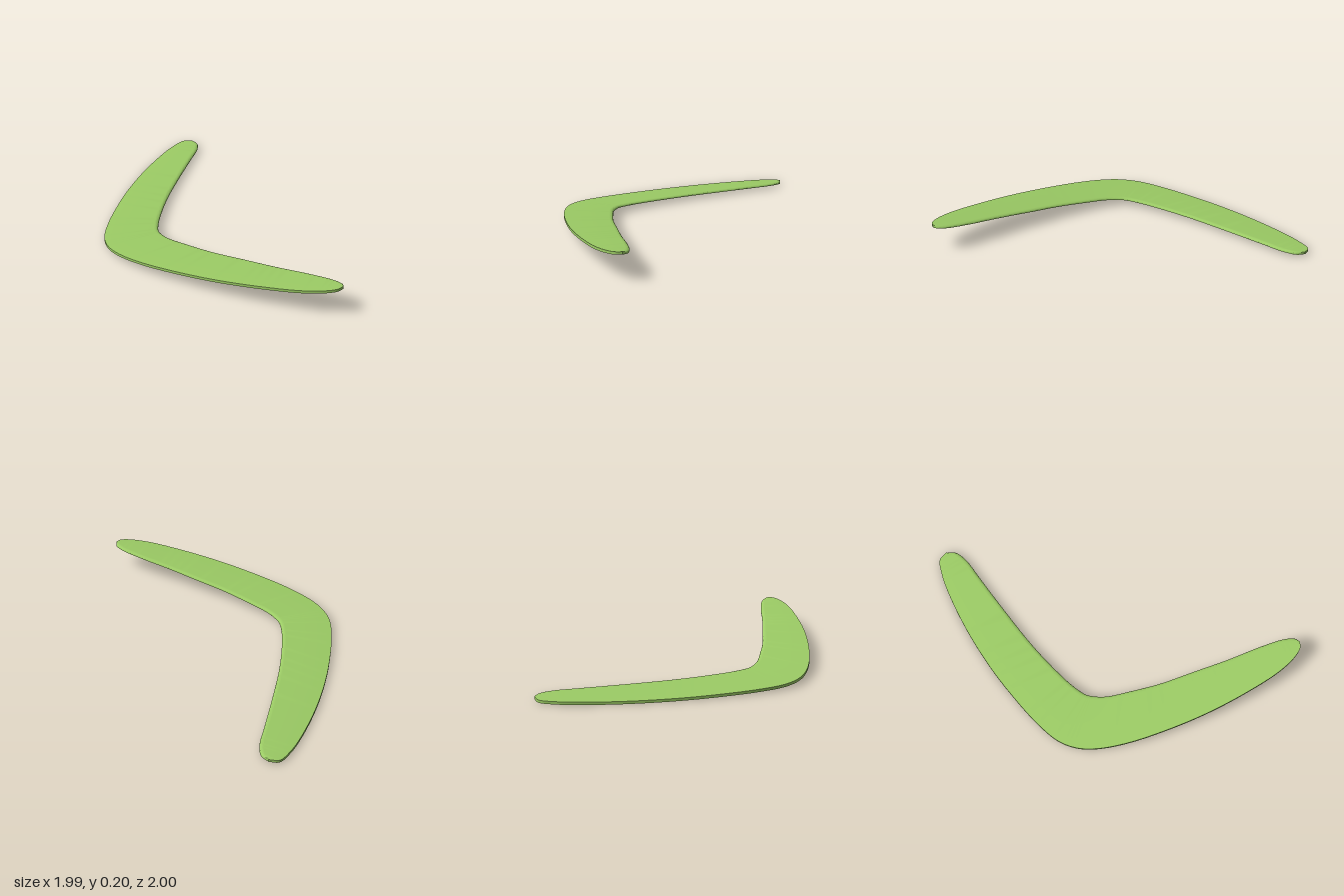
import * as THREE from 'three';
import { toCreasedNormals } from 'three/addons/utils/BufferGeometryUtils.js';

// Outline edges in plan (x, z), paired station by station from one tip to the other
const OUTER = [
  [-0.86, -1], [-0.925, -0.975], [-0.965, -0.86], [-0.987, -0.7], [-0.997, -0.4], [-0.98, -0.1],
  [-0.945, 0.15], [-0.88, 0.45], [-0.81, 0.64], [-0.72, 0.75], [-0.6, 0.825], [-0.4, 0.895],
  [-0.1, 0.955], [0.2, 0.99], [0.5, 0.998], [0.75, 0.985], [0.9, 0.95], [0.97, 0.91], [0.99, 0.87],
];
const INNER = [
  [-0.86, -1], [-0.8, -0.97], [-0.76, -0.88], [-0.735, -0.7], [-0.695, -0.4], [-0.645, -0.08],
  [-0.59, 0.16], [-0.535, 0.34], [-0.485, 0.445], [-0.45, 0.48], [-0.37, 0.53], [-0.2, 0.585],
  [0, 0.64], [0.25, 0.685], [0.5, 0.73], [0.75, 0.765], [0.91, 0.8], [0.975, 0.835], [0.99, 0.87],
];
const THICK = 0.019;
const SLOPE = 0.09; // the whole blade leans up towards +x

const edgeCurve = (pts) =>
  new THREE.CatmullRomCurve3(pts.map(([x, z]) => new THREE.Vector3(x, 0, z)));

// Cross-section: flat underside, rounded inner rim, flat top, square outer edge
function section(inner, outer) {
  const width = inner.distanceTo(outer);
  const bevel = Math.min(0.03, width * 0.3);
  const at = (d, h) => {
    const p = inner.clone().lerp(outer, width > 0 ? d / width : 0);
    p.y = SLOPE * (p.x + 1) + h;
    return p;
  };
  const ring = [at(0, 0)];
  for (let i = 0; i <= 6; i++) {
    const a = (i / 6) * Math.PI / 2;
    ring.push(at(bevel * (1 - Math.cos(a)), 0.004 + (THICK - 0.004) * Math.sin(a)));
  }
  ring.push(at(width, THICK), at(width, 0));
  return ring;
}

function bladeGeometry(stations = 144) {
  const innerCurve = edgeCurve(INNER);
  const outerCurve = edgeCurve(OUTER);
  const positions = [];
  const index = [];
  let n = 0;
  for (let s = 0; s <= stations; s++) {
    const t = s / stations;
    const ring = section(innerCurve.getPoint(t), outerCurve.getPoint(t));
    n = ring.length;
    ring.forEach((p) => positions.push(p.x, p.y, p.z));
  }
  for (let s = 0; s < stations; s++) {
    for (let j = 0; j < n; j++) {
      const a = s * n + j;
      const b = s * n + ((j + 1) % n);
      index.push(a, b, a + n, b, b + n, a + n);
    }
  }
  const geometry = new THREE.BufferGeometry();
  geometry.setAttribute('position', new THREE.Float32BufferAttribute(positions, 3));
  geometry.setIndex(index);
  return toCreasedNormals(geometry, 0.7);
}

export function createModel() {
  const group = new THREE.Group();
  group.name = 'boomerang';
  const blade = new THREE.Mesh(bladeGeometry(), new THREE.MeshStandardMaterial({ color: 0x9ccc65 }));
  blade.name = 'blade';
  group.add(blade);
  return group;
}
